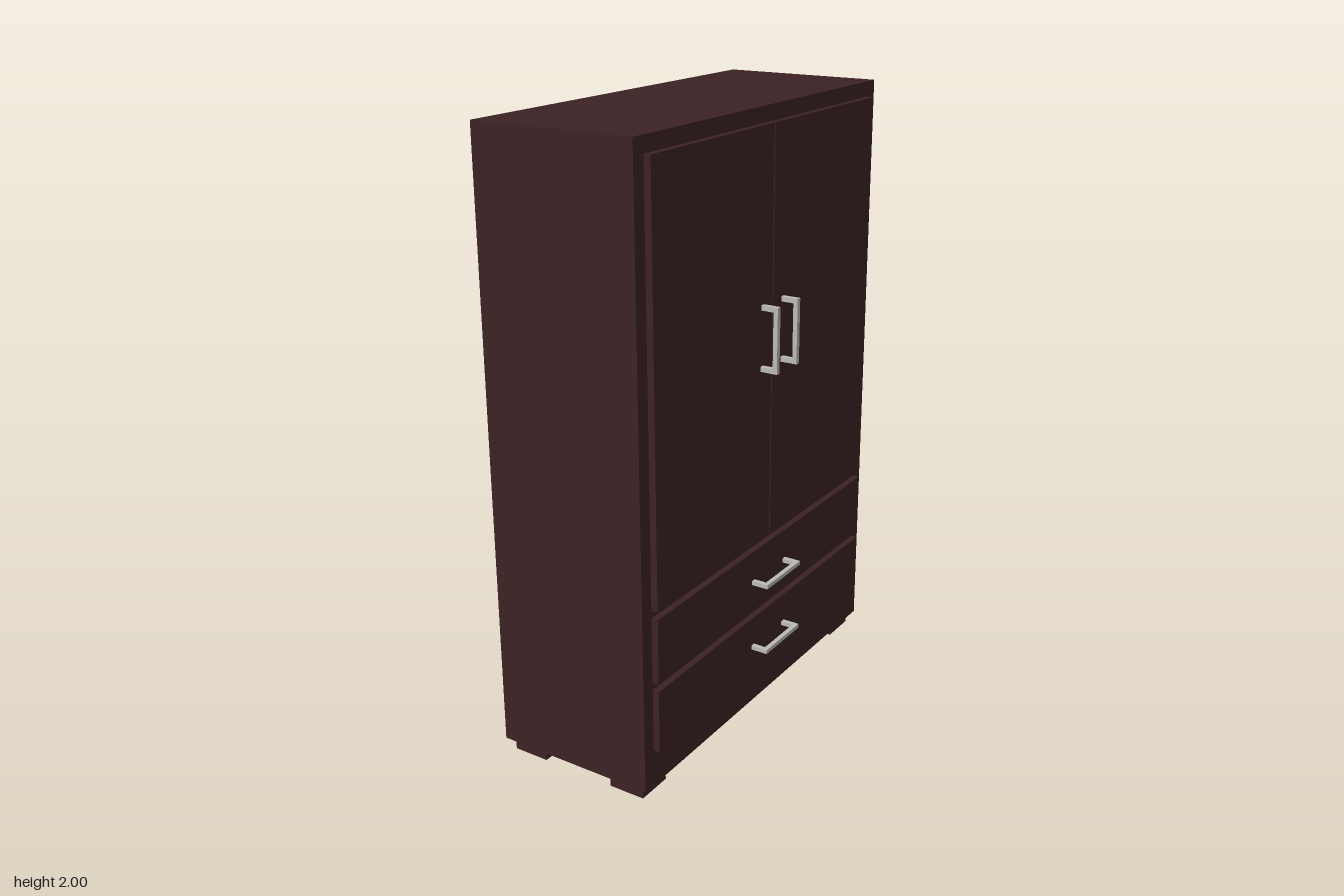
import * as THREE from 'three';

export function createModel() {
  const wood = new THREE.MeshStandardMaterial({ color: 0x3c2224 });
  wood.name = 'dark wood';
  const metal = new THREE.MeshStandardMaterial({ color: 0xbcbbb6 });
  metal.name = 'brushed metal';

  const model = new THREE.Group();
  model.name = 'wardrobe';
  // The wardrobe faces +x and stands very slightly askew
  const wardrobe = new THREE.Group();
  wardrobe.name = 'wardrobeBody';
  wardrobe.rotation.set(0, -0.0147, 0.0035, 'ZYX');
  wardrobe.position.set(-0.027, 0, -0.003);
  model.add(wardrobe);

  const box = (name, parent, mat, w, h, d, x, y, z) => {
    const mesh = new THREE.Mesh(new THREE.BoxGeometry(w, h, d), mat);
    mesh.name = name;
    mesh.position.set(x, y, z);
    parent.add(mesh);
    return mesh;
  };

  const face = 0.272;   // front plane of the cabinet
  const panel = 0.022;  // thickness of doors and drawer fronts

  // Cabinet
  box('cabinet', wardrobe, wood, face * 2, 1.957, 1.358, 0, 1.0205, 0);

  // Pull handle: a bar on two posts, running along its own y axis
  const handle = (name, y, z, length, thick, horizontal) => {
    const g = new THREE.Group();
    g.name = name;
    box('handleBar', g, metal, 0.015, length, thick, 0.05, 0, 0);
    for (const s of [-1, 1]) {
      box('handlePost', g, metal, 0.045, 0.016, thick, 0.0205, s * (length / 2 - 0.008), 0);
    }
    if (horizontal) g.rotation.x = Math.PI / 2;
    g.position.set(face + panel, y, z);
    wardrobe.add(g);
  };

  // Doors
  for (const s of [-1, 1]) {
    const side = s > 0 ? 'left' : 'right';
    box(side + 'Door', wardrobe, wood, panel, 1.315, 0.63, face + panel / 2, 1.2925, s * 0.3175);
    handle(side + 'DoorHandle', 1.31, s * 0.06, 0.21, 0.016, false);
  }

  // Drawers
  const drawers = [['upper', 0.395, 0.61], ['lower', 0.165, 0.372]];
  for (const [name, y0, y1] of drawers) {
    const y = (y0 + y1) / 2;
    box(name + 'Drawer', wardrobe, wood, panel, y1 - y0, 1.265, face + panel / 2, y, 0);
    handle(name + 'DrawerHandle', y, 0, 0.21, 0.014, true);
  }

  // Hollow square feet
  const square = (path, r) => {
    path.moveTo(-r, -r);
    path.lineTo(r, -r);
    path.lineTo(r, r);
    path.lineTo(-r, r);
    path.closePath();
    return path;
  };
  const footShape = square(new THREE.Shape(), 0.061);
  footShape.holes.push(square(new THREE.Path(), 0.034));
  const footGeo = new THREE.ExtrudeGeometry(footShape, { depth: 0.042, bevelEnabled: false });
  footGeo.rotateX(-Math.PI / 2);
  for (const x of [-0.187, 0.187]) {
    for (const z of [-0.598, 0.598]) {
      const foot = new THREE.Mesh(footGeo, wood);
      foot.name = 'foot';
      foot.position.set(x, 0, z);
      wardrobe.add(foot);
    }
  }

  return model;
}
